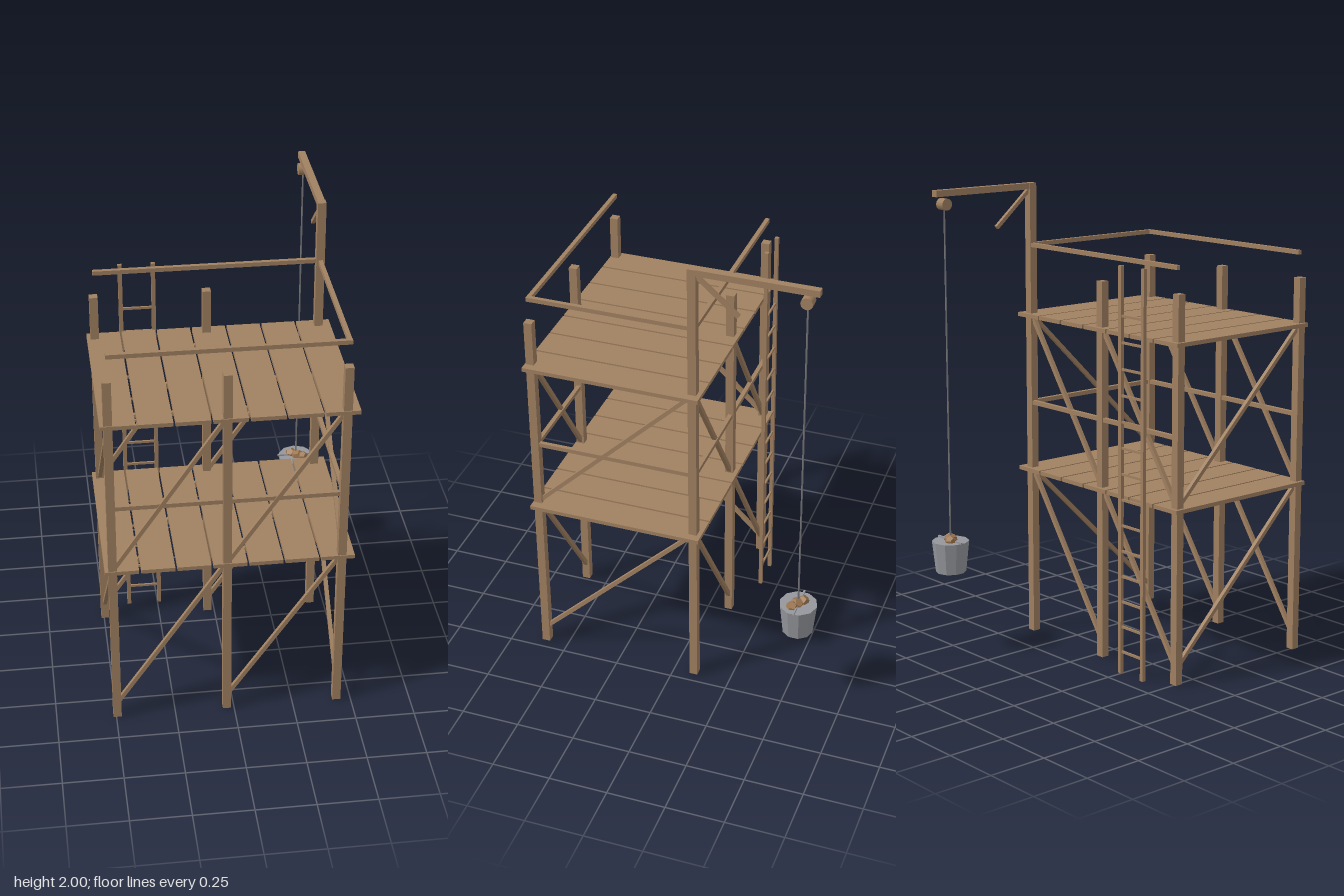
import * as THREE from 'three';

const mat = (name, color) => Object.assign(new THREE.MeshStandardMaterial({ color }), { name });

export function createModel() {
  const root = new THREE.Group();
  root.name = 'scaffoldTower';
  const wood = mat('wood', 0xa08060);
  const stone = mat('brown stone', 0x9c7650);
  const metal = mat('grey metal', 0x95979c);
  const rope = mat('rope grey', 0x77777a);
  stone.flatShading = metal.flatShading = true;

  const add = (name, geo, material, x, y, z) => {
    const m = new THREE.Mesh(geo, material);
    m.name = name;
    m.position.set(x, y, z);
    root.add(m);
    return m;
  };
  const box = (name, w, h, d, x, y, z, material = wood) =>
    add(name, new THREE.BoxGeometry(w, h, d), material, x, y, z);
  // Square timber between two points
  const beam = (name, a, b, t) => {
    const p = new THREE.Vector3(...a), q = new THREE.Vector3(...b);
    const mid = p.clone().add(q).multiplyScalar(0.5);
    const m = box(name, t, t, p.distanceTo(q), mid.x, mid.y, mid.z);
    m.lookAt(q);
    return m;
  };

  const xs = [-0.495, -0.03, 0.44], zs = [-0.09, 0.6];

  // Upright posts; the back left one carries the hoist
  for (const x of xs) for (const z of zs) {
    const h = x === xs[2] && z === zs[0] ? 2 : 1.63;
    box('post', 0.035, h, 0.035, x, h / 2, z);
  }

  // Two plank decks
  for (const y of [0.745, 1.43])
    for (let i = 0; i < 7; i++)
      box('plank', 0.138, 0.017, 0.747, -0.458 + i * 0.1467, y, 0.248);

  // Middle and top rails, open on the ladder end
  for (const y of [1.045, 1.735]) {
    const t = 0.018;
    for (const z of zs) beam('rail', [-0.495, y, z - 0.004], [0.45, y, z - 0.004], t);
    beam('endRail', [0.44, y, -0.09], [0.44, y, 0.6], t);
  }

  // Diagonal braces on both storeys
  for (const [y0, y1] of [[0.07, 0.745], [0.755, 1.43]]) {
    for (const z of zs)
      for (let i = 0; i < 2; i++)
        beam('brace', [xs[i] + 0.005, y0, z], [xs[i + 1] - 0.005, y1, z], 0.017);
    beam('endBrace', [xs[2], y0, zs[1]], [xs[2], y1, zs[0]], 0.017);
    beam('endBrace', [xs[0], y0, zs[0]], [xs[0], y1, zs[1]], 0.017);
  }

  // Ladder
  for (const x of [-0.378, -0.241]) box('ladderRail', 0.017, 1.725, 0.016, x, 0.8625, -0.172);
  for (let i = 0; i < 14; i++)
    box('ladderRung', 0.137, 0.01, 0.008, -0.3095, 0.095 + i * 0.1096, -0.172);

  // Hoist arm, strut, pulley and rope
  const hz = -0.546;
  box('hoistArm', 0.03, 0.027, 0.52, 0.44, 1.9865, -0.335);
  beam('hoistStrut', [0.44, 1.968, -0.105], [0.44, 1.822, -0.275], 0.016);
  const pulley = add('pulley', new THREE.CylinderGeometry(0.025, 0.025, 0.044, 12), wood, 0.44, 1.94, hz);
  pulley.rotation.z = Math.PI / 2;
  add('rope', new THREE.CylinderGeometry(0.004, 0.004, 1.44, 6), rope, 0.44, 1.22, hz);

  // Bucket with its bar and load of stones
  add('bucket', new THREE.CylinderGeometry(0.08, 0.065, 0.137, 10), metal, 0.44, 0.4315, hz);
  box('bucketBar', 0.168, 0.008, 0.008, 0.44, 0.503, hz - 0.002, metal);
  [[-0.02, -0.015, 0.027], [0.03, 0.018, 0.026], [0.005, 0.005, 0.03]].forEach(([x, z, r], i) => {
    const s = add('stone', new THREE.DodecahedronGeometry(r), stone, 0.44 + x, 0.5, hz + z);
    s.rotation.set(i, i * 2, 0.4);
  });

  return root;
}
